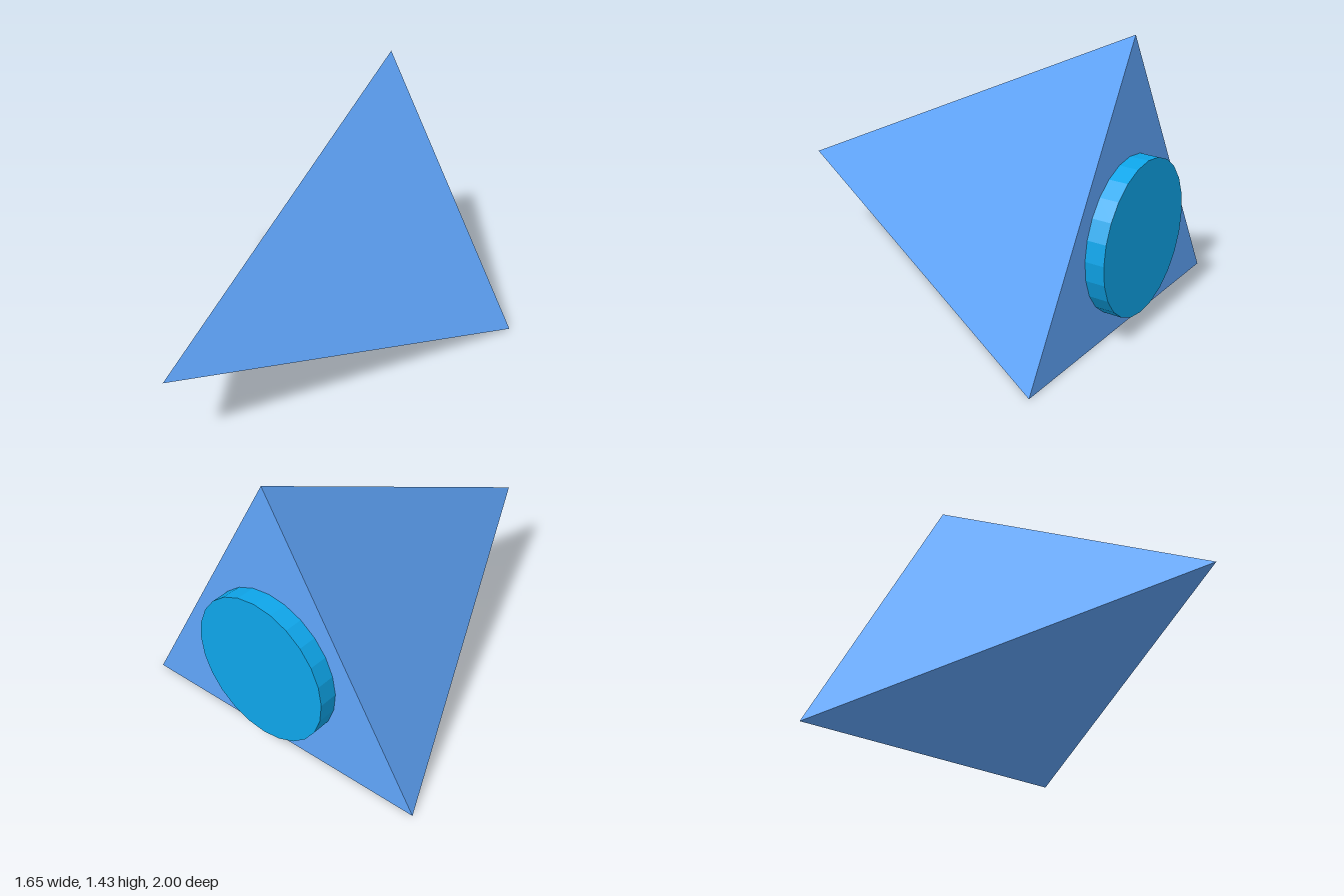
import * as THREE from 'three';

const RADIUS = 0.952;      // corner radius of the triangular base
const LENGTH = 1.905;      // base to tip
const DISC_DEPTH = 0.095;
const CENTRE_Y = RADIUS / 2;
const BASE_Z = -1 + DISC_DEPTH;

// Adds a flat-shaded part whose axis runs from back to front
function addPart(group, name, geometry, color, z) {
  geometry.rotateX(Math.PI / 2);
  const mesh = new THREE.Mesh(geometry, new THREE.MeshStandardMaterial({ color, flatShading: true }));
  mesh.name = name;
  mesh.position.set(0, CENTRE_Y, z);
  group.add(mesh);
}

export function createModel() {
  const model = new THREE.Group();
  model.name = 'pyramidWithDisc';

  // Three-sided pyramid, tip forward, one base corner straight up
  const pyramid = new THREE.ConeGeometry(RADIUS, LENGTH, 3).rotateY(Math.PI);
  addPart(model, 'pyramid', pyramid, 0x60a5fa, BASE_Z + LENGTH / 2);

  // Round disc on the back face
  const disc = new THREE.CylinderGeometry(0.381, 0.381, DISC_DEPTH, 24);
  addPart(model, 'backDisc', disc, 0x0ea5e9, BASE_Z - DISC_DEPTH / 2);

  return model;
}
